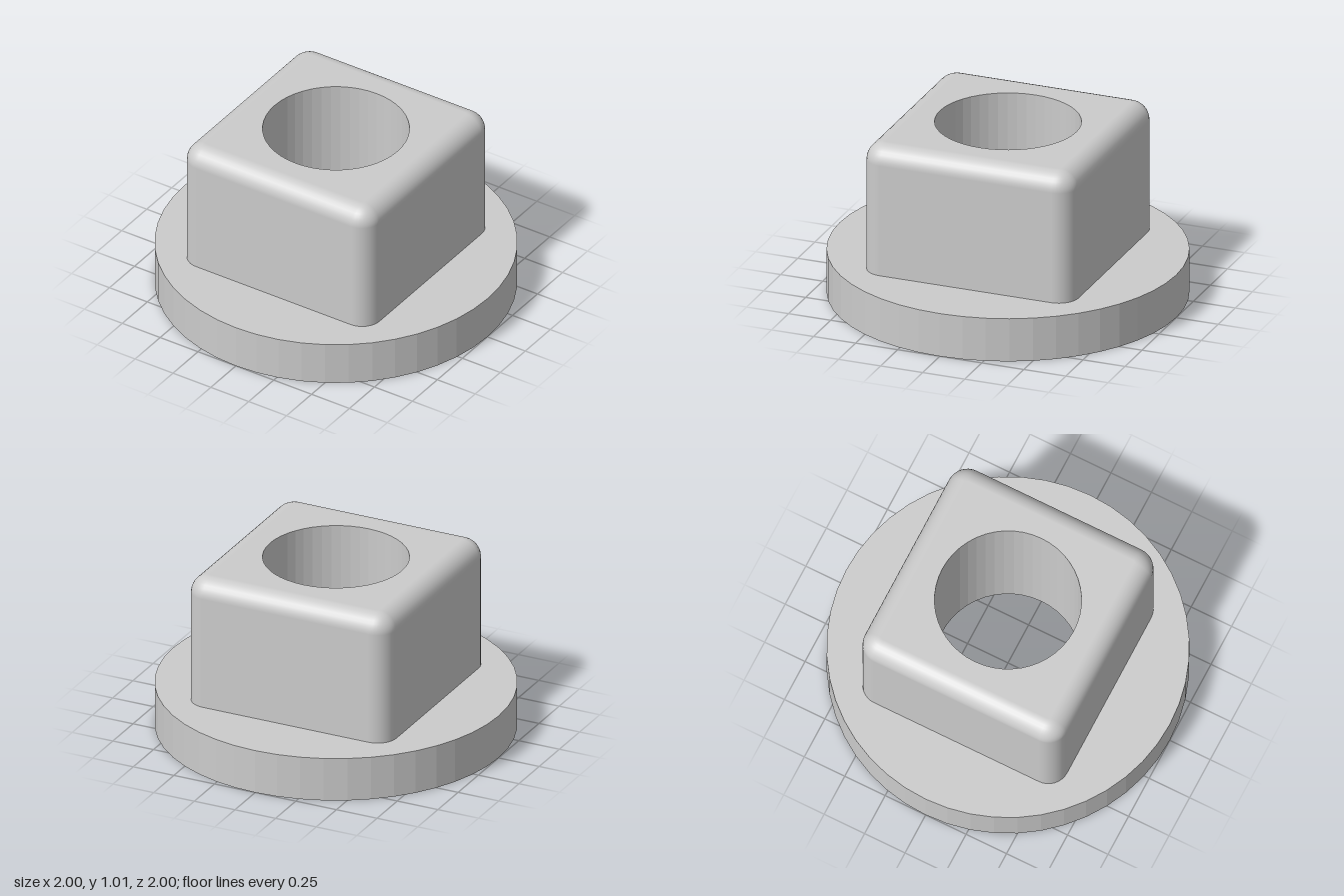
import * as THREE from 'three';

const SEGMENTS = 48;
const BORE = 0.405, FLANGE_TOP = 0.255, TOP = 1.015;
const HALF = 0.625, CORNER = 0.115, FILLET = 0.105;

// Outline of a rounded square: points with outward angle, inset from the full size
function roundedSquare(inset, steps = 8) {
  const r = CORNER - inset, c = HALF - CORNER, points = [];
  for (let q = 0; q < 4; q++) {
    const mid = (q + 0.5) * Math.PI / 2;
    const cx = c * Math.sign(Math.cos(mid)), cy = c * Math.sign(Math.sin(mid));
    for (let i = 0; i <= steps; i++) {
      const angle = (q + i / steps) * Math.PI / 2;
      points.push({ x: cx + r * Math.cos(angle), y: cy + r * Math.sin(angle), angle });
    }
  }
  return points;
}

function circle(radius) {
  return Array.from({ length: SEGMENTS }, (_, i) => {
    const a = i / SEGMENTS * Math.PI * 2;
    return new THREE.Vector2(radius * Math.cos(a), radius * Math.sin(a));
  });
}

// Horizontal upward-facing plate with one hole
function plate(outline, hole, y) {
  const toVectors = (list) => list.map((p) => new THREE.Vector2(p.x, p.y));
  const shape = new THREE.Shape(toVectors(outline));
  shape.holes.push(new THREE.Path(toVectors(hole)));
  return new THREE.ShapeGeometry(shape).rotateX(-Math.PI / 2).translate(0, y, 0);
}

// Straight walls of the block, rolling over the top edge
function blockWalls(steps = 8) {
  const levels = [{ y: FLANGE_TOP, inset: 0, tilt: 0 }];
  for (let i = 0; i <= steps; i++) {
    const tilt = i / steps * Math.PI / 2;
    levels.push({
      y: TOP - FILLET + FILLET * Math.sin(tilt),
      inset: FILLET * (1 - Math.cos(tilt)),
      tilt,
    });
  }
  const positions = [], normals = [], index = [];
  const n = roundedSquare(0).length;
  levels.forEach(({ y, inset, tilt }, row) => {
    roundedSquare(inset).forEach((p, i) => {
      positions.push(p.x, y, -p.y);
      normals.push(Math.cos(tilt) * Math.cos(p.angle), Math.sin(tilt), -Math.cos(tilt) * Math.sin(p.angle));
      if (row === 0) return;
      const next = (i + 1) % n, a = (row - 1) * n, b = row * n;
      index.push(a + i, a + next, b + next, a + i, b + next, b + i);
    });
  });
  const geometry = new THREE.BufferGeometry();
  geometry.setAttribute('position', new THREE.Float32BufferAttribute(positions, 3));
  geometry.setAttribute('normal', new THREE.Float32BufferAttribute(normals, 3));
  geometry.setIndex(index);
  return geometry;
}

export function createModel() {
  const group = new THREE.Group();
  const smooth = new THREE.MeshStandardMaterial({ color: 0xcccccc });
  const faceted = new THREE.MeshStandardMaterial({ color: 0xcccccc, flatShading: true });
  const add = (name, geometry, material) => {
    const mesh = new THREE.Mesh(geometry, material);
    mesh.name = name;
    group.add(mesh);
  };
  const lathe = (...points) =>
    new THREE.LatheGeometry(points.map(([r, y]) => new THREE.Vector2(r, y)), SEGMENTS);

  // Round flange: underside and rim, then the top around the block
  add('flangeRim', lathe([BORE, 0], [1, 0], [1, FLANGE_TOP]), faceted);
  add('flangeTop', plate(circle(1), roundedSquare(0), FLANGE_TOP), smooth);

  // Square block with rounded corners and top edge
  add('blockWalls', blockWalls(), smooth);
  add('blockTop', plate(roundedSquare(FILLET), circle(BORE), TOP), smooth);

  // Through hole, facing inwards
  add('bore', lathe([BORE, TOP], [BORE, 0]), faceted);
  return group;
}
